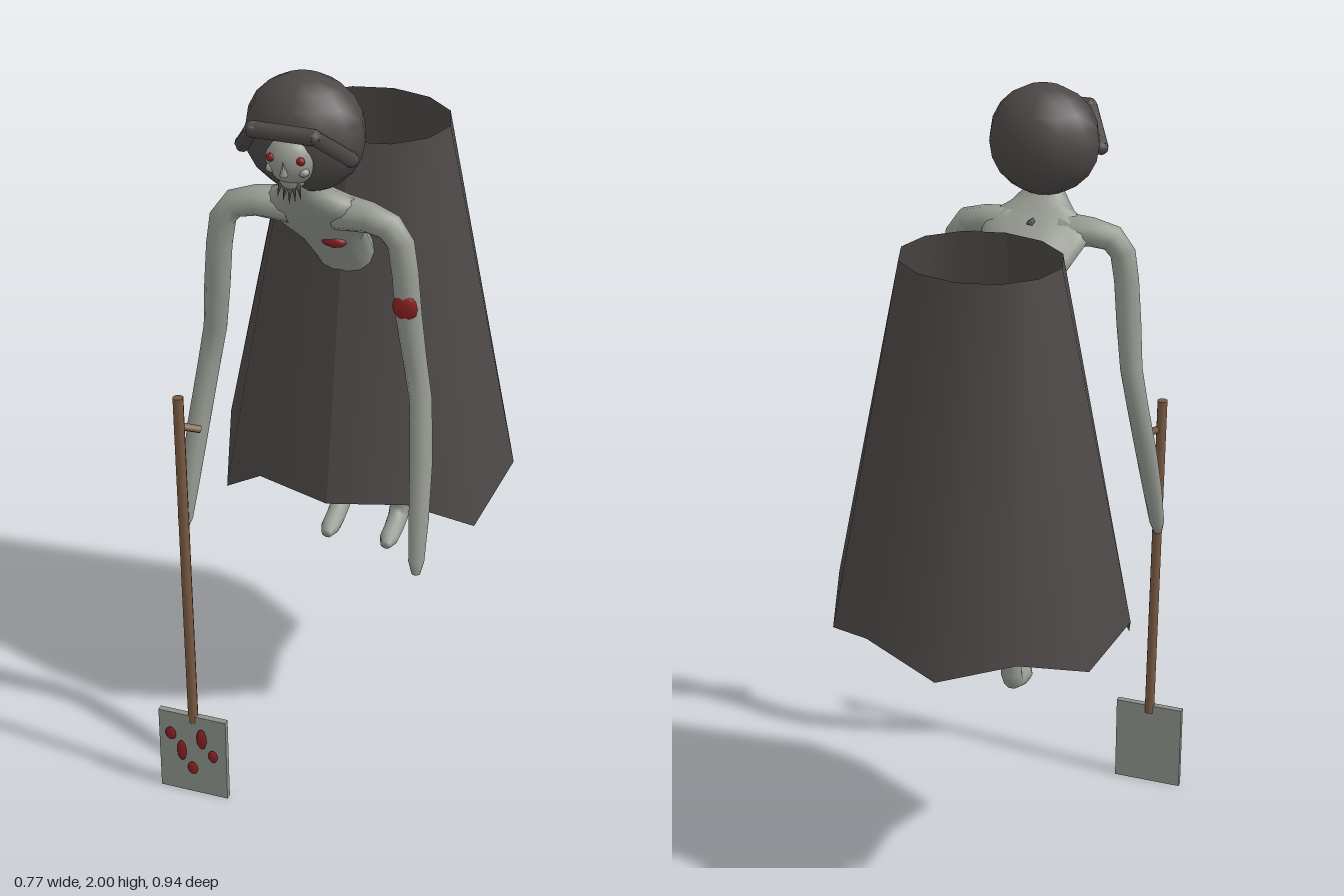
import * as THREE from 'three';

const mat = (name, color, side = THREE.FrontSide) => {
  const m = new THREE.MeshStandardMaterial({ color, side });
  m.name = name;
  return m;
};

// Smooth limb with elliptical rings; each row is [x, y, z, radiusU, radiusV].
// ref is the world direction that radiusU follows.
function loft(rows, ref, segs = 10) {
  const P = rows.map(r => new THREE.Vector3(r[0], r[1], r[2]));
  const pos = [], idx = [], n = rows.length;
  P.forEach((p, i) => {
    const t = P[Math.min(i + 1, n - 1)].clone().sub(P[Math.max(i - 1, 0)]).normalize();
    const u = ref.clone().addScaledVector(t, -ref.dot(t)).normalize();
    const v = t.clone().cross(u);
    for (let j = 0; j < segs; j++) {
      const a = j / segs * Math.PI * 2;
      const q = p.clone().addScaledVector(u, Math.cos(a) * rows[i][3]).addScaledVector(v, Math.sin(a) * rows[i][4]);
      pos.push(q.x, q.y, q.z);
    }
  });
  for (let i = 0; i < n - 1; i++) for (let j = 0; j < segs; j++) {
    const a = i * segs + j, b = i * segs + (j + 1) % segs;
    idx.push(a, b, a + segs, b, b + segs, a + segs);
  }
  const s = n * segs;
  pos.push(...P[0].toArray(), ...P[n - 1].toArray());
  for (let j = 0; j < segs; j++) {
    const k = (j + 1) % segs, e = (n - 1) * segs;
    idx.push(s, k, j, s + 1, e + j, e + k);
  }
  const g = new THREE.BufferGeometry();
  g.setAttribute('position', new THREE.Float32BufferAttribute(pos, 3));
  g.setIndex(idx);
  g.computeVertexNormals();
  return g;
}

export function createModel() {
  const root = new THREE.Group();
  root.name = 'hoodedDigger';
  const cloth = mat('dark cloth', 0x4d4848, THREE.DoubleSide);
  const skin = mat('grey skin', 0x979b92);
  const bone = mat('dark spines', 0x5c5e5a);
  const blood = mat('blood red', 0x8c2024);
  const wood = mat('wood', 0x7a5a42);
  const metal = mat('blade metal', 0x8c9189);

  const X = new THREE.Vector3(1, 0, 0), Y = new THREE.Vector3(0, 1, 0), Z = new THREE.Vector3(0, 0, 1);
  const add = (name, geo, m, p = [0, 0, 0], parent = root) => {
    const o = new THREE.Mesh(geo, m);
    o.name = name;
    o.position.set(...p);
    parent.add(o);
    return o;
  };
  const blob = (name, m, p, r, w = 12, h = 8) => {
    const o = add(name, new THREE.SphereGeometry(1, w, h), m, p);
    o.scale.set(...r);
    return o;
  };
  const spike = (name, p, dir, r, len) => {
    const o = add(name, new THREE.ConeGeometry(r, len, 5), bone, p);
    o.quaternion.setFromUnitVectors(Y, new THREE.Vector3(...dir).normalize());
    return o;
  };
  const rod = (name, a, b, r, m, sides = 8) => {
    const A = new THREE.Vector3(...a), B = new THREE.Vector3(...b);
    const o = add(name, new THREE.CylinderGeometry(r, r, A.distanceTo(B), sides), m,
      A.clone().add(B).multiplyScalar(0.5).toArray());
    o.quaternion.setFromUnitVectors(Y, B.sub(A).normalize());
    return o;
  };

  // Cape: open twelve-sided cone with a ragged hem, starting from the front
  const hem = [0.805, 0.815, 0.71, 0.815, 0.75, 0.81, 0.75, 0.81, 0.755, 0.815, 0.69, 0.82];
  const capeGeo = new THREE.CylinderGeometry(1, 1, 1, 12, 1, true);
  const cp = capeGeo.attributes.position;
  for (let i = 0; i < cp.count; i++) {
    const k = i % 13, a = k / 12 * Math.PI * 2, top = cp.getY(i) > 0;
    cp.setXYZ(i, Math.sin(a) * (top ? 0.2 : 0.386), top ? 1.715 : hem[k % 12],
      -0.14 + Math.cos(a) * (top ? 0.17 : 0.33));
  }
  capeGeo.computeVertexNormals();
  add('cape', capeGeo, cloth);

  // Bent torso and neck
  add('torso', loft([
    [0, 1.04, -0.12, 0.05, 0.04], [0, 1.13, -0.125, 0.08, 0.055], [0, 1.27, -0.09, 0.08, 0.055],
    [0, 1.45, 0.055, 0.077, 0.052], [0, 1.55, 0.15, 0.088, 0.052], [0, 1.61, 0.21, 0.125, 0.052],
    [0, 1.655, 0.262, 0.15, 0.045], [0, 1.69, 0.295, 0.085, 0.042], [0, 1.73, 0.33, 0.045, 0.04],
    [0, 1.8, 0.37, 0.04, 0.04]], X, 14), skin);

  // Arms and legs, mirrored
  for (const s of [1, -1]) {
    const side = s > 0 ? 'left' : 'right';
    add(side + 'Arm', loft([
      [0.06, 1.65, 0.26, 0.045, 0.045], [0.14, 1.65, 0.27, 0.038, 0.036], [0.19, 1.637, 0.278, 0.034, 0.034],
      [0.217, 1.6, 0.281, 0.03, 0.032], [0.228, 1.53, 0.281, 0.029, 0.031], [0.237, 1.42, 0.279, 0.03, 0.031],
      [0.25, 1.3, 0.268, 0.028, 0.028], [0.267, 1.2, 0.273, 0.027, 0.027], [0.283, 1.05, 0.312, 0.026, 0.027],
      [0.292, 0.92, 0.352, 0.023, 0.024], [0.297, 0.82, 0.382, 0.018, 0.019], [0.299, 0.79, 0.39, 0.01, 0.01]
    ].map(r => [r[0] * s, ...r.slice(1)]), Z), skin);
    add(side + 'Leg', loft([
      [0.055, 1.17, -0.12, 0.04, 0.045], [0.08, 1.08, -0.115, 0.042, 0.05], [0.083, 0.95, -0.115, 0.038, 0.042],
      [0.082, 0.8, -0.133, 0.034, 0.034], [0.081, 0.7, -0.147, 0.028, 0.028], [0.081, 0.62, -0.152, 0.027, 0.026],
      [0.081, 0.59, -0.135, 0.027, 0.026], [0.081, 0.575, -0.1, 0.026, 0.024], [0.081, 0.567, -0.06, 0.025, 0.023],
      [0.081, 0.562, -0.032, 0.014, 0.013]
    ].map(r => [r[0] * s, ...r.slice(1)]), X), skin);
    spike(side + 'HipSpine', [0.135 * s, 1.1, -0.045], [0.1 * s, 0.2, -1], 0.012, 0.045);
    blob(side + 'Eye', blood, [0.035 * s, 1.845, 0.436], [0.011, 0.01, 0.008], 8, 6);
    blob(side + 'Cheek', skin, [0.038 * s, 1.815, 0.425], [0.014, 0.011, 0.014], 8, 6);
  }

  // Spines down the back
  for (const [y, z] of [[1.68, 0.2], [1.595, 0.115], [1.515, 0.035], [1.45, -0.02], [1.39, -0.075], [1.33, -0.12], [1.2, -0.185]])
    spike('backSpine', [0, y, z], [0, 0.25, -1], 0.011, 0.05);

  // Head, hood and brim
  blob('hood', cloth, [0, 1.86, 0.312], [0.142, 0.139, 0.117], 12, 10);
  blob('face', skin, [0, 1.835, 0.388], [0.062, 0.066, 0.062], 14, 10);
  blob('jaw', skin, [0, 1.79, 0.395], [0.034, 0.035, 0.035], 10, 8);
  const brim = [[-0.128, 1.835, 0.368], [-0.072, 1.912, 0.448], [0.072, 1.912, 0.448], [0.128, 1.835, 0.368]];
  for (let i = 0; i < 3; i++) rod('brim', brim[i], brim[i + 1], 0.019, cloth, 6);
  for (const p of brim) blob('brimJoint', cloth, p, [0.019, 0.019, 0.019], 6, 6);
  const nose = add('nose', new THREE.ConeGeometry(0.01, 0.035, 6), skin, [0, 1.828, 0.45]);
  nose.rotation.x = 0.2;
  for (let i = -2; i <= 2; i++)
    spike('chinSpike', [i * 0.012, 1.762 - (2 - Math.abs(i)) * 0.006, 0.415], [i * 0.1, -1, 0.1], 0.007, 0.045);

  // Wounds
  blob('armWound', blood, [0.235, 1.452, 0.301], [0.031, 0.034, 0.012], 8, 6);
  const chest = blob('chestWound', blood, [0.03, 1.545, 0.212], [0.032, 0.02, 0.014], 8, 6);
  chest.rotation.x = 0.7;
  blob('hipWound', blood, [-0.1, 1.15, -0.098], [0.024, 0.03, 0.007], 8, 6);

  // Spade with stained blade
  rod('spadeHandle', [-0.297, 1.165, 0.398], [-0.284, 0.22, 0.412], 0.0135, wood);
  rod('spadePeg', [-0.29, 1.085, 0.395], [-0.255, 1.07, 0.37], 0.01, wood, 6);
  add('spadeBlade', new THREE.BoxGeometry(0.184, 0.242, 0.016), metal, [-0.284, 0.121, 0.414]);
  for (const [x, y, rx, ry] of [[-0.342, 0.178, 0.015, 0.02], [-0.313, 0.13, 0.013, 0.032], [-0.284, 0.08, 0.014, 0.02],
    [-0.257, 0.178, 0.014, 0.032], [-0.227, 0.13, 0.013, 0.019]])
    blob('bladeStain', blood, [x, y, 0.427], [rx, ry, 0.0045], 8, 6);

  return root;
}
